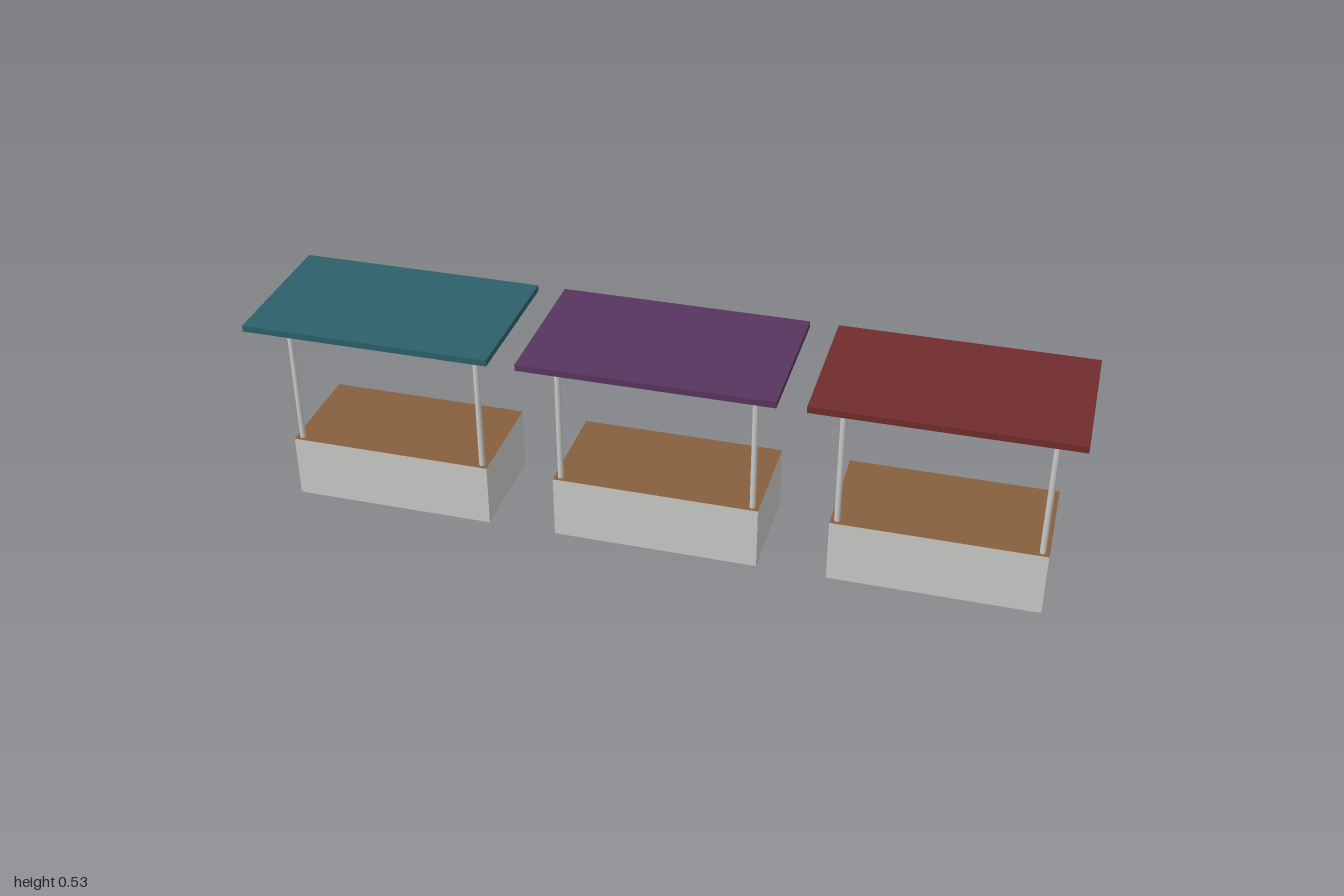
import * as THREE from 'three';

const mat = (name, color, side = THREE.DoubleSide) => {
  const m = new THREE.MeshStandardMaterial({ color, side });
  m.name = name;
  return m;
};

// Thin-walled box, open underneath: four walls and a lid
function openBox(w, h, d, wallMat, lidMat) {
  const box = new THREE.BoxGeometry(w, h, d);
  const groups = box.groups.filter(g => g.materialIndex !== 3);
  box.clearGroups();
  for (const g of groups) box.addGroup(g.start, g.count, g.materialIndex === 2 ? 1 : 0);
  return new THREE.Mesh(box, [wallMat, lidMat]);
}

export function createModel() {
  const model = new THREE.Group();
  model.name = 'marketStalls';

  const grey = mat('paleGrey', 0xc8c8c6);
  const wood = mat('woodBrown', 0x87603e);
  const canopies = [
    mat('canopyTeal', 0x2c6069),
    mat('canopyPurple', 0x57355f),
    mat('canopyRed', 0x712c2e),
  ];

  const baseH = 0.164, roofY = 0.518, roofH = 0.016;
  const postGeo = new THREE.CylinderGeometry(0.0075, 0.0075, roofY + 0.008 - baseH, 16);

  canopies.forEach((canopy, i) => {
    const stall = new THREE.Group();
    stall.name = 'stall' + (i + 1);
    stall.position.x = (i - 1) * 0.69;

    // Counter with wooden top
    const counter = openBox(0.517, baseH, 0.275, grey, wood);
    counter.name = 'counter';
    counter.position.set(0, baseH / 2, -0.0345);
    stall.add(counter);

    // Two front posts
    for (const s of [-1, 1]) {
      const post = new THREE.Mesh(postGeo, grey);
      post.name = s > 0 ? 'leftPost' : 'rightPost';
      post.position.set(s * 0.242, (baseH + roofY + 0.008) / 2, 0.0875);
      stall.add(post);
    }

    // Flat canopy
    const roof = openBox(0.62, roofH, 0.38, canopy, canopy);
    roof.name = 'canopy';
    roof.position.y = roofY + roofH / 2;
    stall.add(roof);

    model.add(stall);
  });

  return model;
}
